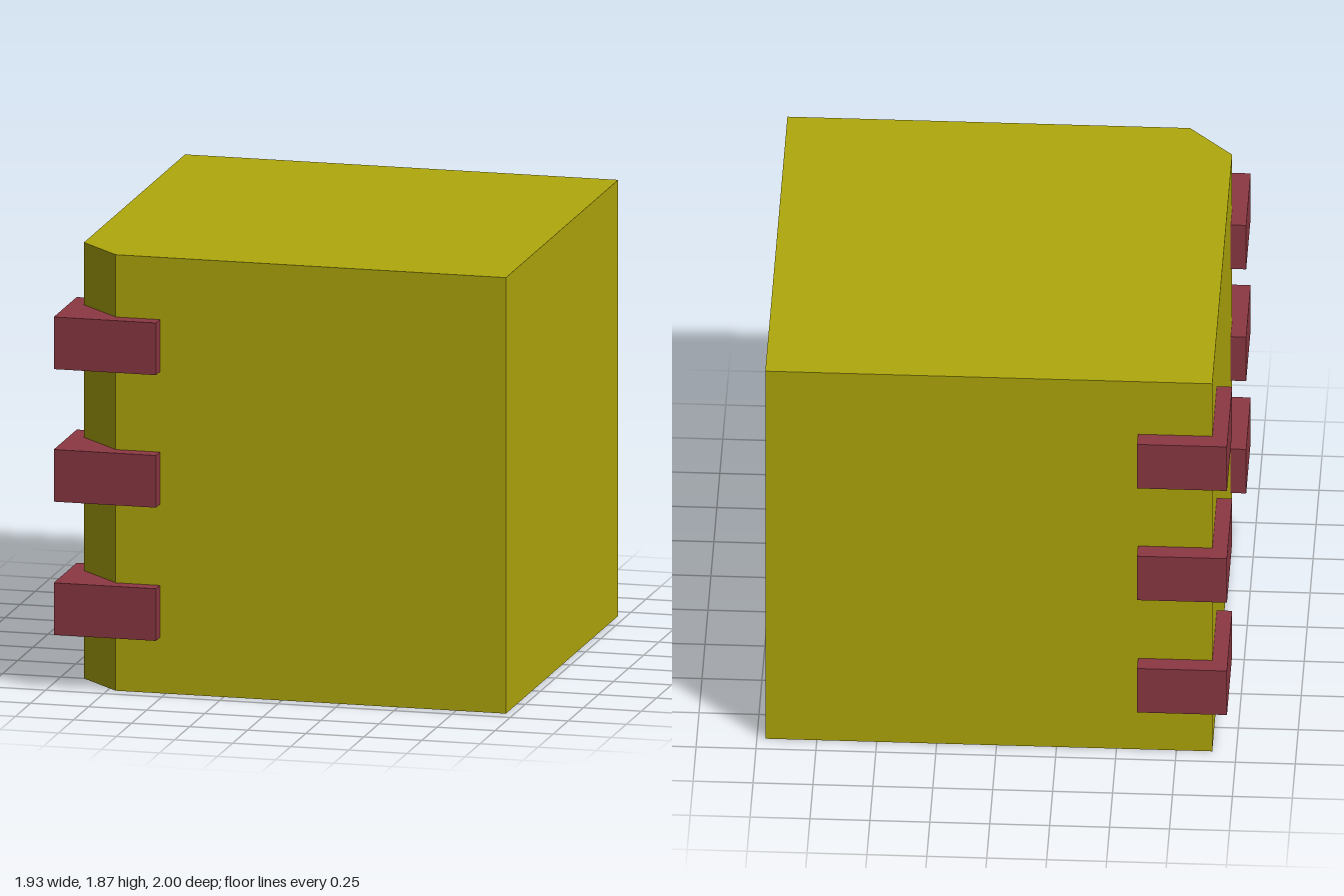
import * as THREE from 'three';

const HEIGHT = 1.865;

export function createModel() {
  const group = new THREE.Group();
  const yellow = new THREE.MeshStandardMaterial({ color: 0xb0a80c, flatShading: true });
  const red = new THREE.MeshStandardMaterial({ color: 0x8c3842, flatShading: true });

  // Body: square footprint with one chamfered front corner (shape y = -z), extruded upwards
  const outline = [[-0.9, 0.75], [-0.715, 0.935], [0.965, 0.935], [0.965, -0.925], [-0.9, -0.925]];
  const shape = new THREE.Shape(outline.map(([x, z]) => new THREE.Vector2(x, -z)));
  const bodyGeometry = new THREE.ExtrudeGeometry(shape, { depth: HEIGHT, bevelEnabled: false });
  bodyGeometry.rotateX(-Math.PI / 2);
  const body = new THREE.Mesh(bodyGeometry, yellow);
  body.name = 'body';
  group.add(body);

  // Corner blocks: three on each of the two right-hand vertical edges
  const addBlock = (name, x0, x1, z0, z1, y) => {
    const block = new THREE.Mesh(new THREE.BoxGeometry(x1 - x0, 0.223, z1 - z0), red);
    block.name = name;
    block.position.set((x0 + x1) / 2, y, (z0 + z1) / 2);
    group.add(block);
  };
  [0.35, 0.92, 1.487].forEach((y, i) => {
    addBlock(`frontCornerBlock${i + 1}`, -0.965, -0.525, 0.62, 1, y);
    addBlock(`backCornerBlock${i + 1}`, -0.965, -0.59, -1, -0.56, y);
  });

  return group;
}
